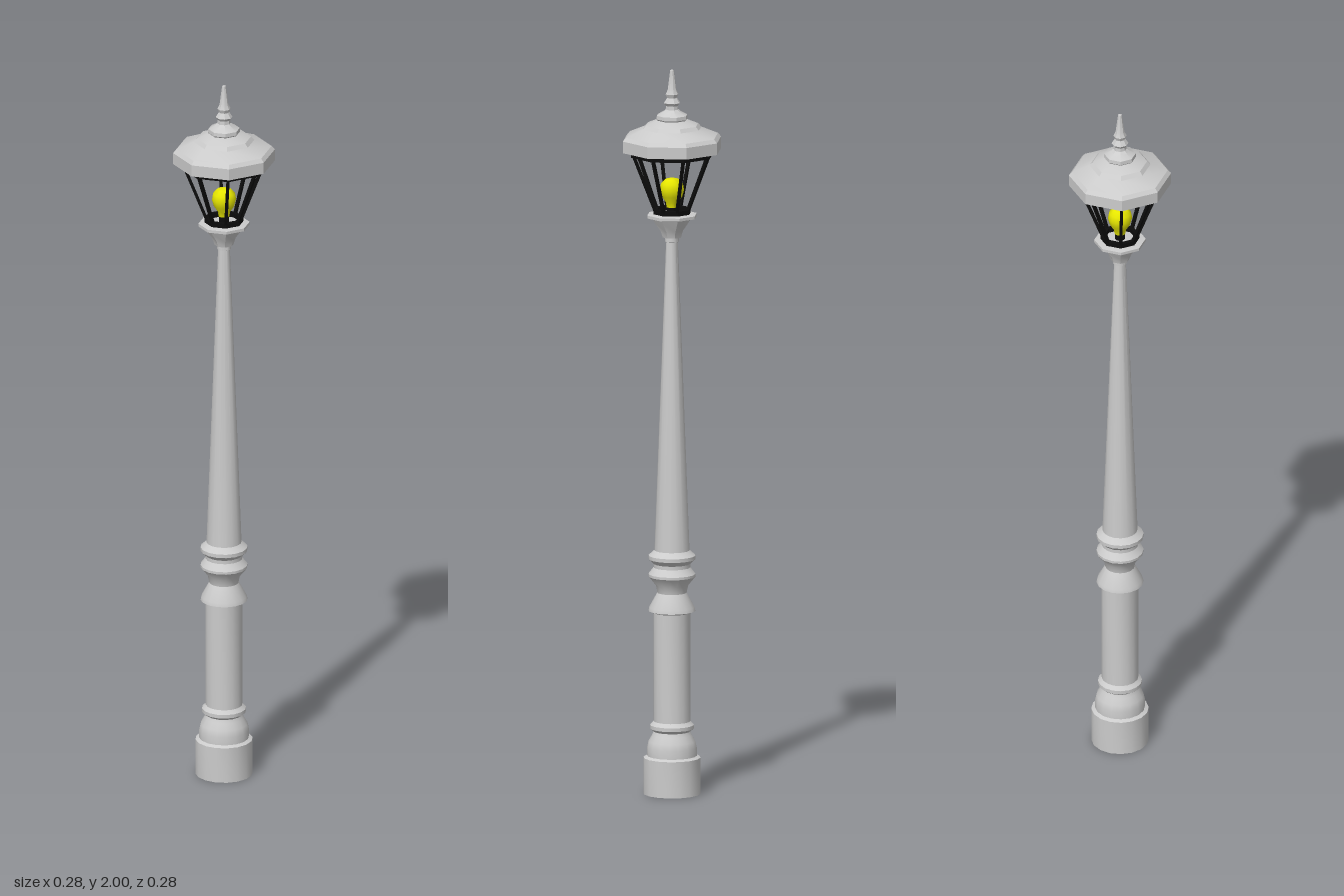
import * as THREE from 'three';
import { toCreasedNormals } from 'three/addons/utils/BufferGeometryUtils.js';

const grey = new THREE.MeshStandardMaterial({ color: 0xcccccc });
const greyThin = new THREE.MeshStandardMaterial({ color: 0xcccccc, side: THREE.DoubleSide });
const black = new THREE.MeshStandardMaterial({ color: 0x0c0c0c });
const yellow = new THREE.MeshStandardMaterial({ color: 0xe6e600 });

// Turned part from [radius, height] pairs, bottom to top
function turned(name, profile, sides, material, crease) {
  const points = profile.map(([r, y]) => new THREE.Vector2(r, y));
  const geometry = toCreasedNormals(new THREE.LatheGeometry(points, sides), crease);
  const mesh = new THREE.Mesh(geometry, material);
  mesh.name = name;
  return mesh;
}

// Closed octagonal band with a rectangular section
function band(name, radius, y, width, height) {
  const r = radius - width;
  return turned(name, [[r, y], [radius, y], [radius, y + height], [r, y + height], [r, y]], 8, black, 0.5);
}

// Thin square bar between two points
function bar(name, a, b, size) {
  const mesh = new THREE.Mesh(new THREE.BoxGeometry(size, size, a.distanceTo(b)), black);
  mesh.position.copy(a).lerp(b, 0.5);
  mesh.lookAt(b);
  mesh.name = name;
  return mesh;
}

export function createModel() {
  const model = new THREE.Group();
  model.name = 'streetLamp';

  // Plinth and lower column
  model.add(turned('base', [
    [0, 0], [0.078, 0], [0.078, 0.1], [0.068, 0.105], [0.068, 0.127], [0.064, 0.145],
    [0.054, 0.162], [0.05, 0.172], [0.06, 0.18], [0.06, 0.19], [0.05, 0.2],
  ], 16, grey, 0.6));
  model.add(turned('lowerColumn', [[0.05, 0.195], [0.05, 0.505]], 16, grey, 0.6));

  // Moulded rings around the waist
  model.add(turned('waistMoulding', [
    [0.05, 0.5], [0.064, 0.505], [0.062, 0.515], [0.04, 0.555], [0.044, 0.575], [0.064, 0.6],
    [0.064, 0.607], [0.05, 0.625], [0.05, 0.635], [0.064, 0.648], [0.064, 0.658], [0.048, 0.672],
  ], 16, grey, 0.6));

  // Long tapering pole and its neck ring
  model.add(turned('pole', [[0.048, 0.668], [0.016, 1.53]], 16, grey, 0.6));
  model.add(turned('neckRing', [[0.012, 1.522], [0.019, 1.525], [0.019, 1.537], [0.012, 1.54]], 16, grey, 0.6));

  // Octagonal lantern cup
  model.add(turned('lanternCup', [
    [0, 1.535], [0.026, 1.537], [0.032, 1.555], [0.05, 1.58], [0.054, 1.588],
    [0.07, 1.592], [0.07, 1.6], [0.052, 1.603], [0, 1.603],
  ], 8, grey, 0.4));

  // Black lantern frame: two bands and eight leaning bars
  const frame = new THREE.Group();
  frame.name = 'lanternFrame';
  frame.add(band('lowerBand', 0.053, 1.602, 0.012, 0.014));
  frame.add(band('upperBand', 0.116, 1.762, 0.012, 0.014));
  for (let i = 0; i < 8; i++) {
    const a = (i * Math.PI) / 4, s = Math.sin(a), c = Math.cos(a);
    frame.add(bar('frameBar',
      new THREE.Vector3(0.047 * s, 1.61, 0.047 * c),
      new THREE.Vector3(0.11 * s, 1.77, 0.11 * c), 0.008));
  }
  model.add(frame);

  // Bulb and its socket
  model.add(turned('bulbSocket', [[0, 1.6], [0.014, 1.6], [0.014, 1.622], [0, 1.622]], 12, black, 0.6));
  model.add(turned('bulb', [
    [0, 1.618], [0.015, 1.62], [0.017, 1.633], [0.028, 1.65], [0.033, 1.668],
    [0.03, 1.685], [0.019, 1.697], [0, 1.702],
  ], 16, yellow, 1));

  // Hollow octagonal roof with stepped tiers
  model.add(turned('roof', [
    [0, 1.835], [0.075, 1.825], [0.124, 1.8], [0.126, 1.776], [0.139, 1.776], [0.139, 1.808],
    [0.13, 1.818], [0.083, 1.838], [0.074, 1.848], [0.045, 1.86], [0, 1.866],
  ], 8, greyThin, 0.35));

  // Finial
  model.add(turned('finial', [
    [0.036, 1.856], [0.044, 1.864], [0.043, 1.874], [0.025, 1.884], [0.018, 1.89], [0.017, 1.9],
    [0.023, 1.908], [0.014, 1.922], [0.018, 1.932], [0.012, 1.945], [0.007, 1.985], [0.005, 1.998], [0, 2],
  ], 8, grey, 0.4));

  return model;
}
